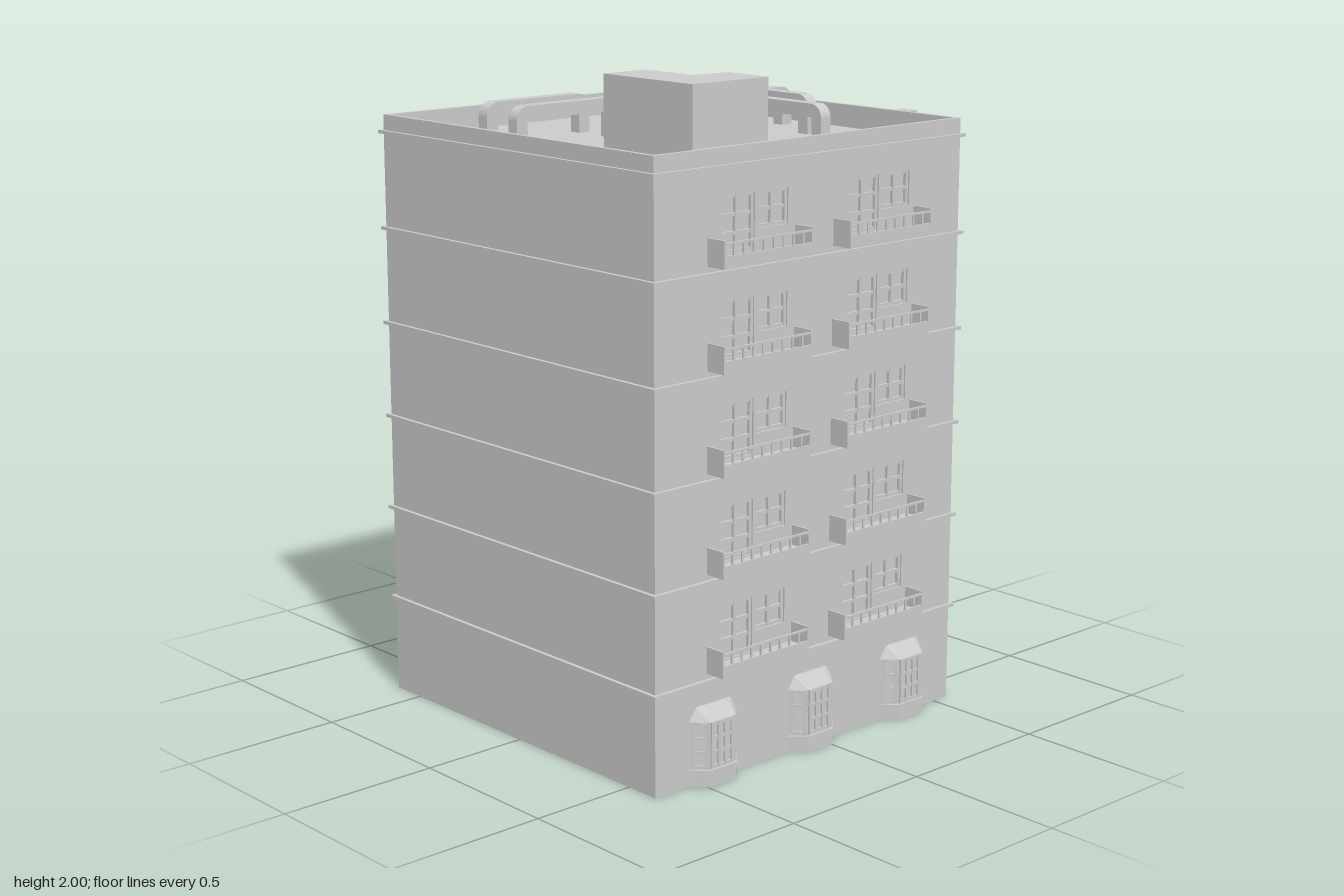
import * as THREE from 'three';
import { mergeGeometries } from 'three/addons/utils/BufferGeometryUtils.js';
import { ConvexGeometry } from 'three/addons/geometries/ConvexGeometry.js';

const mat = new THREE.MeshStandardMaterial({ color: 0xcccccc, flatShading: true });
const X0 = -0.665, X1 = 0.56, Z1 = 0.6125, CX = (X0 + X1) / 2, HALF = 0.6125;
const TOP = 1.825, ROOF = 1.755, T = 0.015, FLOOR = 0.294, FLOORS = 5;

// Box given by its lower and upper corners
function span(x0, x1, y0, y1, z0, z1) {
  return new THREE.BoxGeometry(x1 - x0, y1 - y0, z1 - z0)
    .translate((x0 + x1) / 2, (y0 + y1) / 2, (z0 + z1) / 2);
}

function add(parent, name, geometry, x = 0, y = 0, z = 0) {
  const mesh = new THREE.Mesh(geometry, mat);
  mesh.name = name;
  mesh.position.set(x, y, z);
  parent.add(mesh);
  return mesh;
}

function rectPath(PathType, x0, x1, y0, y1) {
  return new PathType([[x0, y0], [x1, y0], [x1, y1], [x0, y1]].map(p => new THREE.Vector2(...p)));
}

function extrude(shape, depth) {
  return new THREE.ExtrudeGeometry(shape, { depth, bevelEnabled: false, curveSegments: 6 });
}

// Window frame with glazing bars, bottom centre at the origin
function frameGeometry(w, h, cols, rows, z0 = -T, z1 = -0.005) {
  const parts = [], b = 0.005;
  for (let i = 0; i <= cols; i++) {
    const x = -w / 2 + b + (w - 2 * b) * i / cols;
    parts.push(span(x - b, x + b, 0, h, z0, z1));
  }
  for (let j = 0; j <= rows; j++) {
    const y = b + (h - 2 * b) * j / rows;
    parts.push(span(-w / 2, w / 2, y - b, y + b, z0, z1 - 0.001));
  }
  return mergeGeometries(parts);
}

// Balcony: slab, low front, end panels, posts and top rail
function balconyGeometry(w, d, posts) {
  const h = w / 2, t = 0.006;
  const parts = [
    span(-h, h, 0, 0.02, 0, d),
    span(-h, h, 0.02, 0.037, d - t, d),
    span(-h, -h + t, 0.02, 0.08, 0, d),
    span(h - t, h, 0.02, 0.08, 0, d),
    span(-h + t, h - t, 0.068, 0.074, d - t, d),
  ];
  for (let i = 1; i < posts; i++) {
    const x = -h + w * i / posts;
    parts.push(span(x - 0.003, x + 0.003, 0.037, 0.068, d - t, d - 0.001));
  }
  return mergeGeometries(parts);
}

// Wall pierced by openings { c, y, w, h, cols, rows }, each given a frame
function facade(name, width, openings) {
  const group = new THREE.Group();
  group.name = name;
  const wall = rectPath(THREE.Shape, -width / 2, width / 2, 0, TOP);
  for (const o of openings) {
    wall.holes.push(rectPath(THREE.Path, o.c - o.w / 2, o.c + o.w / 2, o.y, o.y + o.h));
    add(group, 'windowFrame', frameGeometry(o.w, o.h, o.cols, o.rows), o.c, o.y, 0);
  }
  add(group, 'wall', extrude(wall, T), 0, 0, -T);
  return group;
}

// Ground-floor bay with flared base, sloping roof and glazed faces
function bay() {
  const group = new THREE.Group();
  group.name = 'bayWindow';
  const ring = (a, b, d, y) => [[-a, -0.005], [-b, d], [b, d], [a, -0.005]]
    .map(([x, z]) => new THREE.Vector3(x, y, z));
  const loft = (low, high) => new ConvexGeometry([...ring(...low), ...ring(...high)]);
  add(group, 'bayBase', loft([0.101, 0.052, 0.045, 0], [0.101, 0.052, 0.045, 0.05]));
  add(group, 'bayBody', loft([0.093, 0.044, 0.036, 0], [0.093, 0.044, 0.036, 0.2]));
  add(group, 'bayRoof', loft([0.099, 0.05, 0.043, 0.195], [0.07, 0.042, 0.008, 0.234]));
  add(group, 'bayFrontFrame', frameGeometry(0.088, 0.14, 3, 3, -0.002, 0.006), 0, 0.052, 0.036);
  for (const s of [-1, 1]) {
    const side = add(group, 'baySideFrame', frameGeometry(0.05, 0.14, 1, 3, -0.002, 0.005), s * 0.068, 0.052, 0.0165);
    side.rotation.y = s * Math.atan2(0.049, 0.041);
  }
  return group;
}

// Duct arching between two feet, running along +x from the origin
function ductGeometry(length, startFoot = true) {
  const h = 0.125, t = 0.04, r = 0.042, s = new THREE.Shape();
  if (startFoot) {
    s.moveTo(0, 0);
    s.lineTo(0, h - r);
    s.absarc(r, h - r, r, Math.PI, Math.PI / 2, true);
  } else {
    s.moveTo(0, h - t);
    s.lineTo(0, h);
  }
  s.absarc(length - r, h - r, r, Math.PI / 2, 0, true);
  s.lineTo(length, 0);
  s.lineTo(length - t, 0);
  s.lineTo(length - t, h - t);
  if (startFoot) {
    s.lineTo(t, h - t);
    s.lineTo(t, 0);
  }
  return extrude(s, t).translate(0, 0, -t / 2);
}

export function createModel() {
  const model = new THREE.Group();
  model.name = 'apartmentBlock';

  // Solid core, blank side wall and roof deck
  add(model, 'core', span(X0 + T, X1 - T, 0, ROOF, -Z1 + T, Z1 - T));
  add(model, 'blankWall', span(X0, X0 + T, 0, TOP, -Z1 + T, Z1 - T));

  // Front and back: bays below, two long balconies on each floor
  const longBalcony = balconyGeometry(0.343, 0.068, 9);
  for (const s of [1, -1]) {
    const u = x => s * (x - CX);
    const openings = [];
    for (let f = 0; f < FLOORS; f++) {
      const y = 0.325 + f * FLOOR;
      for (const x of [-0.42, 0.08]) {
        openings.push({ c: u(x + 0.065), y: y + 0.025, w: 0.13, h: 0.165, cols: 2, rows: 3 });
        openings.push({ c: u(x + 0.2), y: y + 0.085, w: 0.12, h: 0.105, cols: 2, rows: 2 });
      }
    }
    const wall = facade(s > 0 ? 'frontFacade' : 'backFacade', 2 * HALF, openings);
    for (let f = 0; f < FLOORS; f++) {
      for (const x of [-0.297, 0.195]) add(wall, 'longBalcony', longBalcony, u(x), 0.325 + f * FLOOR, 0);
    }
    for (const x of [-0.443, -0.048, 0.346]) {
      const b = bay();
      b.position.x = u(x);
      wall.add(b);
    }
    wall.position.set(CX, 0, s * Z1);
    wall.rotation.y = s > 0 ? 0 : Math.PI;
    model.add(wall);
  }

  // Entrance side: stair windows, small balconies, ground windows and door
  const openings = [{ c: 0, y: 0.05, w: 0.13, h: 0.13, cols: 4, rows: 2 }];
  for (const z of [0.505, 0.225, -0.23, -0.367, -0.51]) {
    openings.push({ c: -z, y: 0.1, w: 0.07, h: 0.1, cols: 2, rows: 2 });
  }
  const balconyZ = [0.174, -0.146, -0.446];
  for (let f = 0; f < FLOORS; f++) {
    const y = 0.325 + f * FLOOR;
    openings.push({ c: -0.505, y: y + 0.075, w: 0.08, h: 0.115, cols: 2, rows: 2 });
    for (const z of balconyZ) {
      openings.push({ c: -z - 0.03, y: y + 0.025, w: 0.05, h: 0.165, cols: 1, rows: 3 });
      openings.push({ c: -z + 0.035, y: y + 0.085, w: 0.06, h: 0.105, cols: 1, rows: 2 });
    }
  }
  const side = facade('entranceFacade', 2 * (Z1 - T), openings);
  const smallBalcony = balconyGeometry(0.154, 0.07, 5);
  for (let f = 0; f < FLOORS; f++) {
    for (const z of balconyZ) add(side, 'smallBalcony', smallBalcony, -z, 0.325 + f * FLOOR, 0);
  }
  side.position.x = X1;
  side.rotation.y = Math.PI / 2;
  model.add(side);
  add(model, 'cornerShaft', span(X1 - 0.005, 0.598, 0, TOP, 0.34, 0.402));
  for (let i = 0; i < 6; i++) {
    add(model, 'entranceStep', span(X1, 0.675 - i * 0.0155, i * 0.009, (i + 1) * 0.009, -0.1, 0.1));
  }

  // Thin ledge around the block at every floor
  const e = 0.012;
  const ring = rectPath(THREE.Shape, X0 - e, X1 + e, -Z1 - e, Z1 + e);
  ring.holes.push(rectPath(THREE.Path, X0 + 0.003, X1 - 0.003, -Z1 + 0.003, Z1 - 0.003));
  const ledge = extrude(ring, 0.01).rotateX(-Math.PI / 2);
  for (let f = 0; f <= FLOORS; f++) add(model, 'floorLedge', ledge, 0, 0.298 + f * FLOOR, 0);

  // L-shaped roof house
  const plan = [[-0.495, -0.58], [-0.21, -0.58], [-0.21, -0.417], [-0.335, -0.41], [-0.335, -0.21], [-0.495, -0.21]];
  const house = extrude(new THREE.Shape(plan.map(p => new THREE.Vector2(...p))), 2 - ROOF).rotateX(-Math.PI / 2);
  add(model, 'roofHouse', house, 0, ROOF, 0);

  // Roof ducts
  const duct = ductGeometry(0.396);
  for (const z of [-0.317, -0.175]) add(model, 'roofDuct', duct, -0.516, ROOF - 0.005, z);
  for (const [x, z] of [[0.198, 0.406], [0.351, 0.198]]) {
    add(model, 'roofDuct', duct, x, ROOF - 0.005, z).rotation.y = Math.PI / 2;
  }
  add(model, 'ductBranch', ductGeometry(0.108, false), 0.367, ROOF - 0.006, -0.037);
  return model;
}
